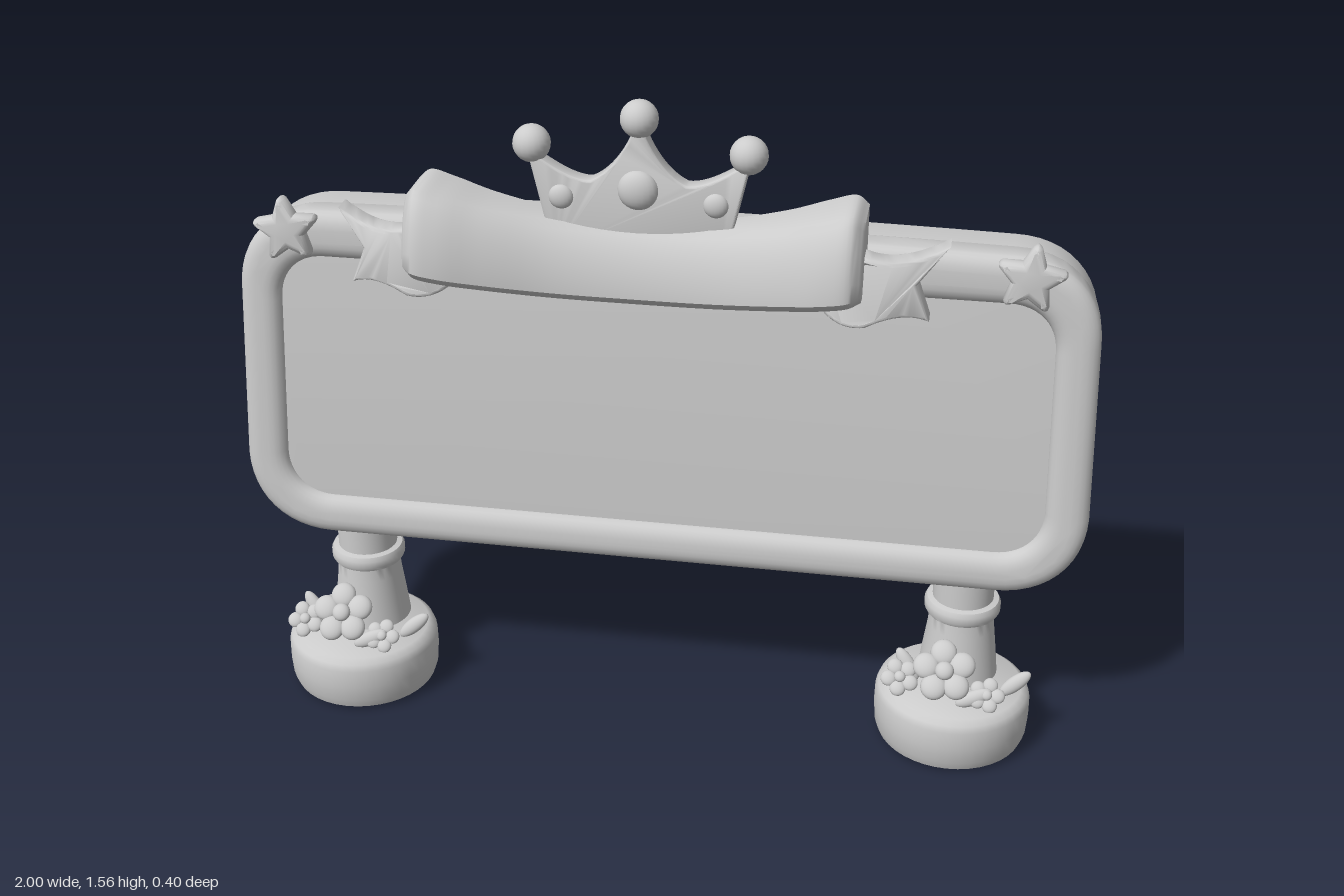
import * as THREE from 'three';
import { toCreasedNormals } from 'three/addons/utils/BufferGeometryUtils.js';

const stone = new THREE.MeshStandardMaterial({ color: 0xcccccc });
stone.name = 'light grey';

function add(parent, name, geometry, x = 0, y = 0, z = 0) {
  const mesh = new THREE.Mesh(geometry, stone);
  mesh.name = name;
  mesh.position.set(x, y, z);
  parent.add(mesh);
  return mesh;
}

const ball = (r) => new THREE.SphereGeometry(r, 20, 14);

// Bevelled extrusion whose outline keeps its drawn size; front face at z = depth
function slab(shape, depth, bevel, thick = bevel, segments = 4) {
  const g = new THREE.ExtrudeGeometry(shape, {
    depth: depth - 2 * thick, bevelEnabled: true, bevelSize: bevel, bevelOffset: -bevel,
    bevelThickness: thick, bevelSegments: segments, curveSegments: 12,
  });
  g.translate(0, 0, thick);
  return toCreasedNormals(g, 0.7);
}

// Rounded board outline with a faint arch on top and slightly wider foot
function outline(Type, top, bottom, wTop, wBottom, r, arch) {
  const s = new Type();
  s.moveTo(-wBottom + r, bottom);
  s.lineTo(wBottom - r, bottom);
  s.bezierCurveTo(wBottom - r * 0.4, bottom, wBottom, bottom + r * 0.4, wBottom, bottom + r);
  s.lineTo(wTop, top - r);
  s.bezierCurveTo(wTop, top - r * 0.4, wTop - r * 0.4, top, wTop - r, top);
  s.quadraticCurveTo(0, top + 2 * arch, -wTop + r, top);
  s.bezierCurveTo(-wTop + r * 0.4, top, -wTop, top - r * 0.4, -wTop, top - r);
  s.lineTo(-wBottom, bottom + r);
  s.bezierCurveTo(-wBottom, bottom + r * 0.4, -wBottom + r * 0.4, bottom, -wBottom + r, bottom);
  return s;
}

function makeBoard() {
  const board = new THREE.Group();
  board.name = 'signBoard';
  board.position.y = 0.825;
  board.rotation.x = -0.061;
  add(board, 'boardBody', slab(outline(THREE.Shape, 0.403, -0.412, 0.981, 0.996, 0.2, 0.008), 0.178, 0.025), 0, 0, -0.175);
  const ring = outline(THREE.Shape, 0.407, -0.415, 0.985, 1.0, 0.2, 0.008);
  ring.holes.push(outline(THREE.Path, 0.295, -0.317, 0.888, 0.9, 0.11, 0));
  add(board, 'frame', slab(ring, 0.11, 0.04, 0.03, 5), 0, 0, -0.08);
  return board;
}

function makeFlower(name, r) {
  const flower = new THREE.Group();
  flower.name = name;
  for (let i = 0; i < 5; i++) {
    const a = Math.PI / 2 + i * Math.PI * 0.4;
    add(flower, 'petal', ball(r * 0.42), Math.cos(a) * r * 0.6, Math.sin(a) * r * 0.6).scale.z = 0.55;
  }
  add(flower, 'flowerCentre', ball(r * 0.3), 0, 0, r * 0.2).scale.z = 0.7;
  return flower;
}

const lathe = (pts) => toCreasedNormals(
  new THREE.LatheGeometry(pts.map((p) => new THREE.Vector2(...p)), 40), 0.7);

// Foot, post and flowers
function makeLeg(name, x) {
  const leg = new THREE.Group();
  leg.name = name;
  leg.position.x = x;
  add(leg, 'foot', lathe([[0, 0], [0.16, 0], [0.174, 0.008], [0.182, 0.03], [0.185, 0.07],
    [0.184, 0.115], [0.178, 0.132], [0.163, 0.143], [0, 0.143]]), 0, 0, 0.02);
  add(leg, 'post', lathe([[0.096, 0.13], [0.088, 0.2], [0.079, 0.27], [0.076, 0.305], [0.085, 0.308],
    [0.09, 0.318], [0.09, 0.335], [0.085, 0.345], [0.072, 0.348], [0.072, 0.46], [0, 0.46]]), 0.008, 0, -0.04);
  for (const [fx, fy, fz, r, spin] of [[-0.022, 0.218, 0.1, 0.074, 0.1],
    [-0.125, 0.18, 0.085, 0.045, 0.5], [0.08, 0.172, 0.115, 0.042, -0.3]]) {
    const flower = makeFlower('flower', r);
    flower.position.set(fx, fy, fz);
    flower.rotation.set(-0.7, 0, spin);
    leg.add(flower);
  }
  for (const [lx, ly, lz, tilt] of [[0.145, 0.175, 0.06, -0.85], [-0.11, 0.195, 0.05, 0.6], [0.05, 0.165, 0.12, -1.1]]) {
    const leaf = add(leg, 'leaf', ball(0.045), lx, ly, lz);
    leaf.scale.set(0.4, 1, 0.3);
    leaf.rotation.set(-0.3, 0, tilt);
  }
  return leg;
}

// Puffy five-pointed star
function makeStar(name, x) {
  const s = new THREE.Shape();
  const at = (i, r) => [Math.sin(i * Math.PI / 5) * r, Math.cos(i * Math.PI / 5) * r];
  for (let i = 0; i < 10; i += 2) {
    const a = at(i - 0.2, 0.073), b = at(i + 0.2, 0.073), c = at(i + 1, 0.044);
    if (i) s.lineTo(...a); else s.moveTo(...a);
    s.quadraticCurveTo(...at(i, 0.084), ...b);
    s.lineTo(...c);
  }
  s.closePath();
  const star = add(new THREE.Group(), name, slab(s, 0.05, 0.018, 0.02), x, 1.195, -0.003);
  star.rotation.set(-0.06, 0, x < 0 ? 0.12 : -0.12);
  return star;
}

// Crown plate, tip balls and jewels
function makeCrown() {
  const crown = new THREE.Group();
  crown.name = 'crown';
  crown.position.set(-0.03, 0, 0.045);
  const s = new THREE.Shape();
  s.moveTo(-0.19, 1.2);
  s.lineTo(0.19, 1.2);
  s.lineTo(0.245, 1.44);
  s.quadraticCurveTo(0.15, 1.37, 0.105, 1.375);
  s.quadraticCurveTo(0.05, 1.4, 0.012, 1.49);
  s.lineTo(-0.012, 1.49);
  s.quadraticCurveTo(-0.05, 1.4, -0.105, 1.375);
  s.quadraticCurveTo(-0.15, 1.37, -0.245, 1.44);
  s.closePath();
  add(crown, 'crownPlate', slab(s, 0.044, 0.006), 0, 0, -0.022);
  for (const [x, y] of [[-0.237, 1.446], [0, 1.514], [0.237, 1.446]]) add(crown, 'crownBall', ball(0.042), x, y);
  for (const [x, y, r] of [[-0.17, 1.335, 0.028], [0, 1.36, 0.045], [0.17, 1.335, 0.028]]) {
    add(crown, 'jewel', ball(r), x, y, 0.02).scale.z = 0.6;
  }
  return crown;
}

// Solid banner lofted along x: stations are [x, top, bottom, front]
function bannerGeometry() {
  const half = [[0.18, 1.28, 1.108, 0.125], [0.33, 1.312, 1.132, 0.165],
    [0.42, 1.342, 1.15, 0.19], [0.475, 1.355, 1.16, 0.19], [0.5, 1.335, 1.165, 0.165]];
  const stations = [...half.map(([x, ...r]) => [-x, ...r]).reverse(), [0, 1.268, 1.1, 0.11], ...half];
  const heights = new THREE.CatmullRomCurve3(stations.map(([x, t, b]) => new THREE.Vector3(x, t, b)));
  const depths = new THREE.CatmullRomCurve3(stations.map(([x, , , f]) => new THREE.Vector3(x, f, 0)));
  const steps = 50, verts = [], index = [];
  let n = 0;
  for (let i = 0; i <= steps; i++) {
    const { x, y: t, z: b } = heights.getPoint(i / steps);
    const f = depths.getPoint(i / steps).y, m = (t + b) / 2;
    const loop = [[t, 0], [t, f - 0.055], [t - 0.012, f - 0.036], [m + 0.03, f - 0.01], [m - 0.03, f + 0.006],
      [b + 0.025, f + 0.008], [b + 0.004, f - 0.015], [b - 0.003, f - 0.05], [b, 0]];
    n = loop.length;
    loop.forEach(([y, z]) => verts.push(x, y, z));
  }
  for (let i = 0; i < steps; i++) for (let j = 0; j < n; j++) {
    const a = i * n + j, b = i * n + (j + 1) % n;
    index.push(a, b, a + n, b, b + n, a + n);
  }
  const e = steps * n;
  for (let j = 1; j < n - 1; j++) index.push(0, j + 1, j, e, e + j, e + j + 1);
  const g = new THREE.BufferGeometry();
  g.setAttribute('position', new THREE.Float32BufferAttribute(verts, 3));
  g.setIndex(index);
  return toCreasedNormals(g, 0.75);
}

// Forked tail, waved in depth; side is -1 or 1
function tailGeometry(side) {
  const p = (x, y) => [side * x, y];
  const s = new THREE.Shape();
  s.moveTo(...p(0.4, 1.24));
  s.lineTo(...p(0.5, 1.25));
  s.quadraticCurveTo(...p(0.59, 1.225), ...p(0.68, 1.268));
  s.lineTo(...p(0.615, 1.19));
  s.lineTo(...p(0.645, 1.108));
  s.quadraticCurveTo(...p(0.58, 1.14), ...p(0.51, 1.1));
  s.quadraticCurveTo(...p(0.44, 1.085), ...p(0.4, 1.135));
  s.closePath();
  const g = slab(s, 0.06, 0.008);
  const pos = g.attributes.position;
  for (let i = 0; i < pos.count; i++) {
    const x = Math.abs(pos.getX(i));
    pos.setZ(i, pos.getZ(i) + 0.03 + 0.025 * Math.sin((x - 0.42) * 16) - (pos.getY(i) - 1.18) * 0.2);
  }
  return toCreasedNormals(g, 0.7);
}

export function createModel() {
  const model = new THREE.Group();
  model.name = 'crownedSign';
  model.add(makeBoard(), makeLeg('rightLeg', -0.745), makeLeg('leftLeg', 0.725));
  model.add(makeStar('rightStar', -0.85), makeStar('leftStar', 0.82), makeCrown());
  const ribbon = new THREE.Group();
  ribbon.name = 'ribbon';
  ribbon.position.x = -0.035;
  add(ribbon, 'banner', bannerGeometry());
  add(ribbon, 'rightTail', tailGeometry(-1));
  add(ribbon, 'leftTail', tailGeometry(1));
  model.add(ribbon);
  return model;
}
